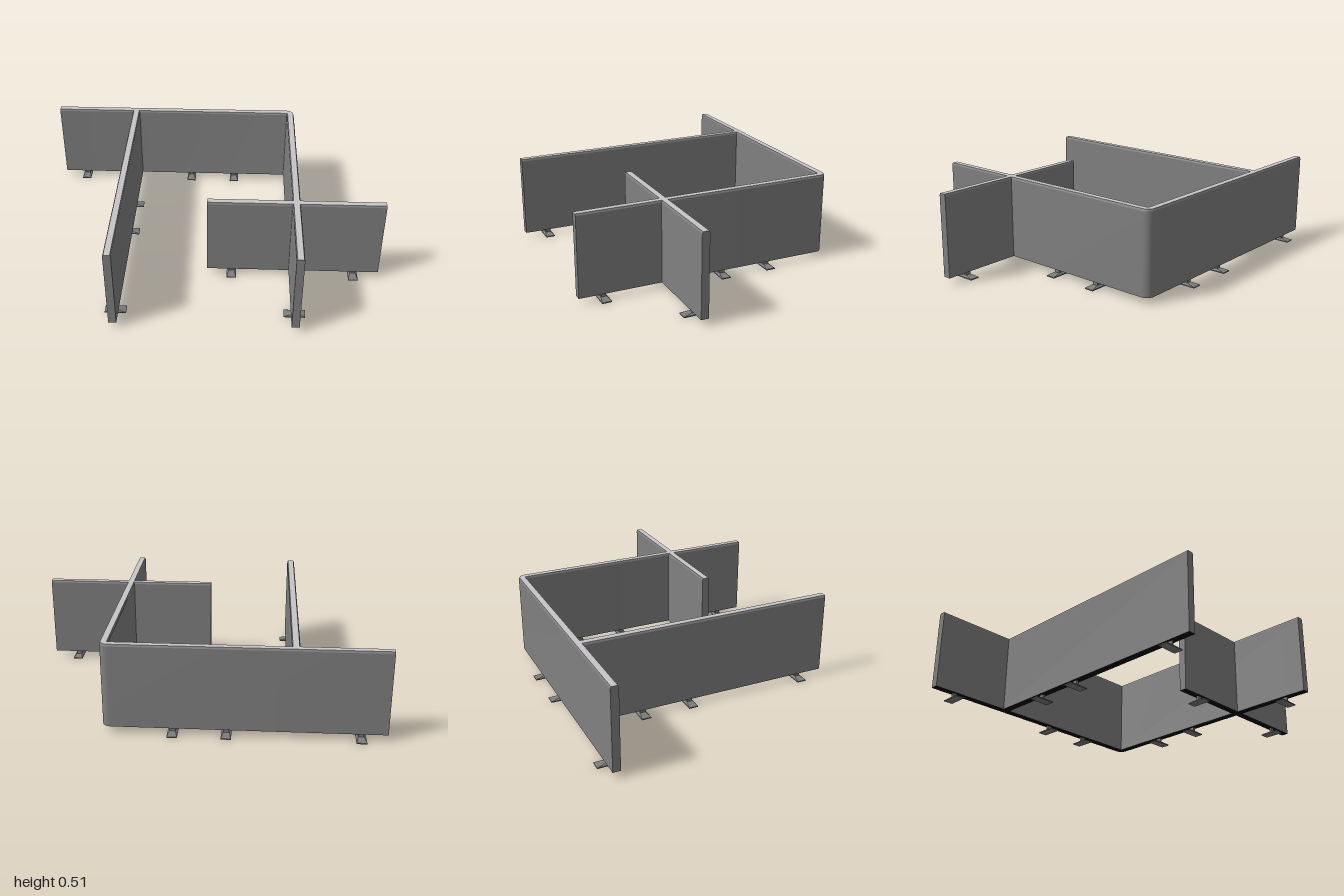
import * as THREE from 'three';
import { toCreasedNormals } from 'three/addons/utils/BufferGeometryUtils.js';

const panelGrey = new THREE.MeshStandardMaterial({ color: 0x808080 });
panelGrey.name = 'panel grey';
const trimGrey = new THREE.MeshStandardMaterial({ color: 0xc8c5c8 });
trimGrey.name = 'trim light grey';
const baseBlack = new THREE.MeshStandardMaterial({ color: 0x050505 });
baseBlack.name = 'base black';
const footGrey = new THREE.MeshStandardMaterial({ color: 0x7c7c7c });
footGrey.name = 'foot grey';

const HALF = 0.022, BOTTOM = 0.037, TOP = 0.513;
const BACK = -0.721, SIDE = 0.5, CROSS = 0.277, FRONT = 0.777;

// Wall cross-section as [offset, height], anticlockwise from the bottom
const profile = [
  [-HALF, BOTTOM], [HALF, BOTTOM], [HALF, TOP - 0.011],
  [HALF - 0.005, TOP], [-HALF + 0.005, TOP], [-HALF, TOP - 0.011],
];

function toGeometry(triangles) {
  const geometry = new THREE.BufferGeometry();
  geometry.setAttribute('position', new THREE.Float32BufferAttribute(triangles, 3));
  return toCreasedNormals(geometry, 0.4);
}

// Sweep the cross-section along a plan path of [x, z] points
function wall(name, path) {
  const group = new THREE.Group();
  group.name = name;
  const rings = path.map((p, i) => {
    const a = path[Math.max(i - 1, 0)], b = path[Math.min(i + 1, path.length - 1)];
    const next = new THREE.Vector2(b[0] - p[0], b[1] - p[1]).normalize();
    const last = new THREE.Vector2(p[0] - a[0], p[1] - a[1]).normalize();
    const d = next.add(last).normalize();
    return profile.map(([s, y]) => [p[0] - d.y * s, y, p[1] + d.x * s]);
  });
  const sides = [], trim = [], base = [];
  const n = profile.length;
  for (let i = 0; i < rings.length - 1; i++) {
    for (let j = 0; j < n; j++) {
      const k = (j + 1) % n;
      const a = rings[i][j], b = rings[i + 1][j], c = rings[i + 1][k], d = rings[i][k];
      const target = j === 0 ? base : j === 3 ? trim : sides;
      target.push(...a, ...b, ...c, ...a, ...c, ...d);
    }
  }
  // End caps
  const start = rings[0], end = rings[rings.length - 1];
  for (let j = 1; j < n - 1; j++) {
    sides.push(...start[0], ...start[j], ...start[j + 1]);
    sides.push(...end[0], ...end[j + 1], ...end[j]);
  }
  [['panel', sides, panelGrey], ['topTrim', trim, trimGrey], ['underside', base, baseBlack]]
    .forEach(([part, triangles, material]) => {
      const mesh = new THREE.Mesh(toGeometry(triangles), material);
      mesh.name = part;
      group.add(mesh);
    });
  return group;
}

// Foot: flat plate, tapered boss and a thin stem under the wall
function foot(x, z, alongZ) {
  const group = new THREE.Group();
  group.name = 'foot';
  const add = (name, w, h, d, y, taper) => {
    const geometry = new THREE.BoxGeometry(w, h, d);
    const pos = geometry.attributes.position;
    for (let i = 0; taper && i < pos.count; i++) {
      if (pos.getY(i) > 0) {
        pos.setX(i, pos.getX(i) * taper[0]);
        pos.setZ(i, pos.getZ(i) * taper[1]);
      }
    }
    geometry.computeVertexNormals();
    const mesh = new THREE.Mesh(geometry, footGrey);
    mesh.name = name;
    mesh.position.y = y + h / 2;
    group.add(mesh);
  };
  add('footPlate', 0.055, 0.006, 0.12, 0, null);
  add('footBoss', 0.055, 0.008, 0.12, 0.006, [0.6, 0.2]);
  add('footStem', 0.03, 0.026, 0.013, 0.012, null);
  group.position.set(x, 0, z);
  if (alongZ) group.rotation.y = Math.PI / 2;
  return group;
}

export function createModel() {
  const model = new THREE.Group();
  model.name = 'officePartition';

  // Back wall turning through a rounded corner into one side wall
  const r = 0.024, bend = [];
  for (let i = 0; i <= 8; i++) {
    const t = (i / 8) * Math.PI / 2;
    bend.push([SIDE - r + r * Math.sin(t), BACK + r - r * Math.cos(t)]);
  }
  model.add(wall('backAndLeftWall', [[-1, BACK], ...bend, [SIDE, FRONT]]));
  model.add(wall('rightWall', [[-SIDE, BACK], [-SIDE, FRONT]]));
  model.add(wall('crossWall', [[0, CROSS], [1, CROSS]]));

  // Feet under each wall
  for (const x of [-0.86, -0.145, 0.143]) model.add(foot(x, BACK, false));
  for (const x of [0.143, 0.855]) model.add(foot(x, CROSS, false));
  for (const side of [-SIDE, SIDE]) {
    for (const z of [-0.367, -0.08, 0.633]) model.add(foot(side, z, true));
  }
  return model;
}
